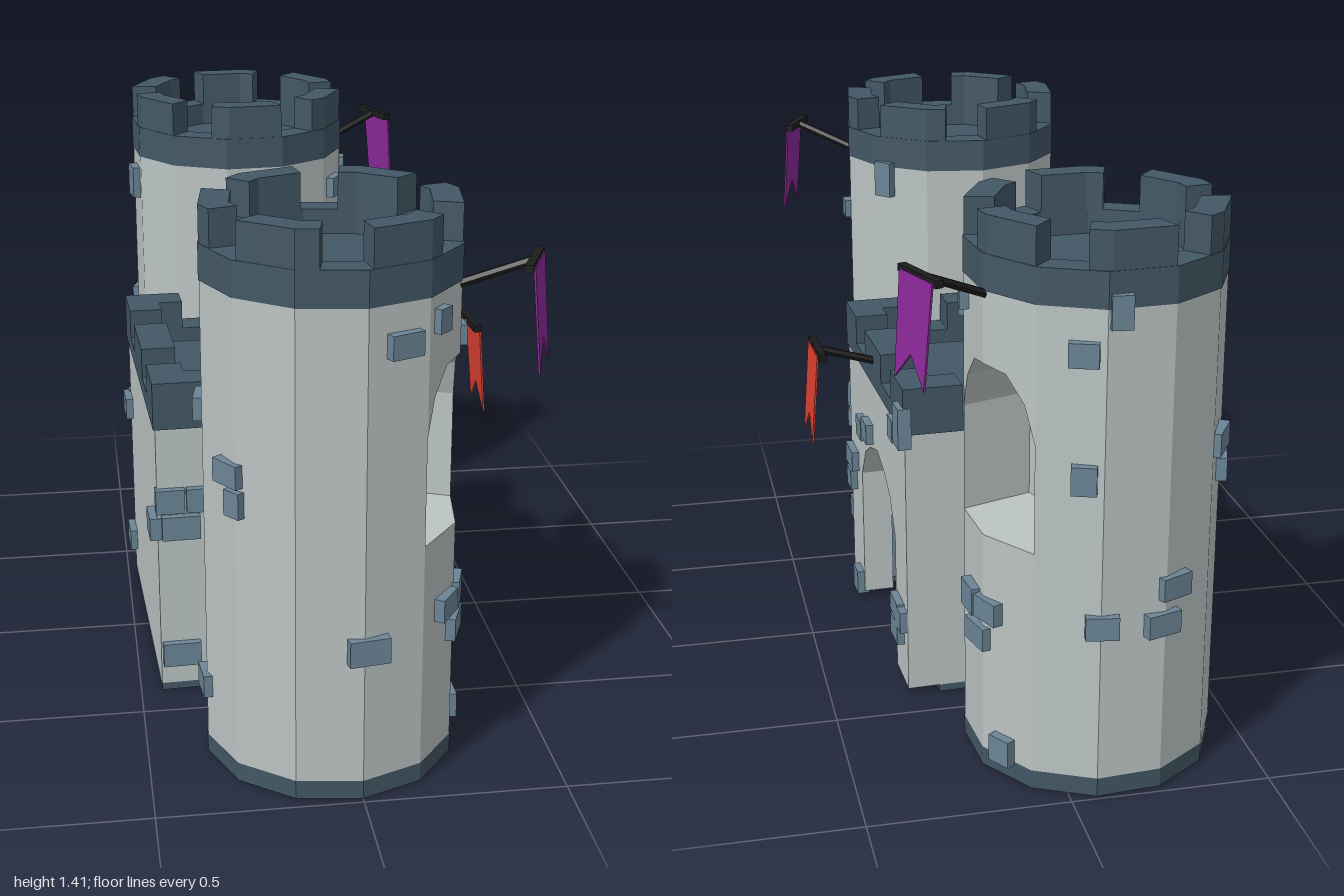
import * as THREE from 'three';

const mat = (color) => new THREE.MeshStandardMaterial({ color, flatShading: true, side: THREE.DoubleSide });
const stone = mat(0xbcc4c4), dark = mat(0x435866), brickMat = mat(0x6b8596);
const black = mat(0x1c1c1c), purple = mat(0x8c2a9a), red = mat(0xdc4030);
const rad = THREE.MathUtils.degToRad;

function add(parent, name, geometry, material, x = 0, y = 0, z = 0) {
  const m = new THREE.Mesh(geometry, material);
  m.name = name;
  m.position.set(x, y, z);
  parent.add(m);
  return m;
}
const box = (parent, name, material, w, h, d, x, y, z) =>
  add(parent, name, new THREE.BoxGeometry(w, h, d), material, x, y, z);

// Radius of a twelve-sided tower at an angle in degrees
const R = 0.312;
const facetRadius = (a, r = R) => r * Math.cos(rad(15)) / Math.cos(rad(((a % 30) + 30) % 30 - 15));

// Tower wall in vertical strips, with an arched niche facing +x
function towerWall() {
  const y0 = 0.05, y1 = 1.24, sill = 0.63, back = 0.08;
  const niche = [[-30, 0.9], [-24, 0.99], [-13, 1.05], [0, 1.06], [13, 1.05], [24, 0.99], [30, 0.9]];
  const pos = [];
  const quad = (a, b, c, d) => pos.push(...a, ...b, ...c, ...a, ...c, ...d);
  const out = (t, y) => [facetRadius(t) * Math.cos(rad(t)), y, facetRadius(t) * Math.sin(rad(t))];
  const inn = (t, y) => [back, y, facetRadius(t) * Math.sin(rad(t))];
  for (let t = 30; t < 330; t += 30) quad(out(t + 30, y0), out(t, y0), out(t, y1), out(t + 30, y1));
  for (let i = 0; i < niche.length - 1; i++) {
    const [s, hs] = niche[i], [t, ht] = niche[i + 1];
    quad(out(t, y0), out(s, y0), out(s, sill), out(t, sill));
    quad(out(t, ht), out(s, hs), out(s, y1), out(t, y1));
    quad(inn(t, sill), inn(s, sill), inn(s, hs), inn(t, ht));
    quad(out(t, sill), out(s, sill), inn(s, sill), inn(t, sill));
    quad(out(s, hs), out(t, ht), inn(t, ht), inn(s, hs));
  }
  quad(out(-30, sill), out(-30, 0.9), inn(-30, 0.9), inn(-30, sill));
  quad(out(30, 0.9), out(30, sill), inn(30, sill), inn(30, 0.9));
  const g = new THREE.BufferGeometry();
  g.setAttribute('position', new THREE.Float32BufferAttribute(pos, 3));
  g.computeVertexNormals();
  return g;
}

// Battlement block following the tower rim, centred on angle a
function towerMerlon(a) {
  const at = (t, r) => new THREE.Vector2(r * Math.sin(rad(t)), -r * Math.cos(rad(t)));
  const edge = [-19, -9, 0, 9, 19].map((o) => a + o);
  const pts = [...edge.map((t) => at(t, facetRadius(t))),
    ...edge.slice().reverse().map((t) => at(t, facetRadius(t, 0.24)))];
  const g = new THREE.ExtrudeGeometry(new THREE.Shape(pts), { depth: 0.095, bevelEnabled: false });
  return g.rotateX(-Math.PI / 2).translate(0, 1.318, 0);
}

// Pole, crossbar and swallow-tailed cloth pointing along +x
function banner(parent, x0, y0, x1, y1, material) {
  const g = new THREE.Group();
  g.name = 'banner';
  parent.add(g);
  const dx = x1 - x0, dy = y1 - y0;
  const pole = add(g, 'bannerPole', new THREE.CylinderGeometry(0.011, 0.011, Math.hypot(dx, dy), 6), black,
    (x0 + x1) / 2, (y0 + y1) / 2, 0);
  pole.rotation.z = Math.atan2(dy, dx) - Math.PI / 2;
  box(g, 'bannerBar', black, 0.02, 0.018, 0.17, x1, y1, 0);
  const cloth = new THREE.Shape([[-0.073, 0], [-0.066, -0.25], [0, -0.18], [0.066, -0.25], [0.073, 0]]
    .map((p) => new THREE.Vector2(...p)));
  const c = add(g, 'bannerCloth', new THREE.ExtrudeGeometry(cloth, { depth: 0.005, bevelEnabled: false }),
    material, x1 + 0.008, y1, 0);
  c.rotation.set(0, Math.PI / 2, 0.08, 'ZYX');
}

// bricks: [angle from +z towards +x, height, width, height of brick]
function tower(name, x, z, turn, merlonStart, bricks) {
  const g = new THREE.Group(), body = new THREE.Group();
  g.name = name;
  body.name = 'towerBody';
  g.position.set(x, 0, z);
  body.rotation.y = turn;
  g.add(body);
  add(body, 'wall', towerWall(), stone);
  add(body, 'baseBand', new THREE.CylinderGeometry(R + 0.002, R, 0.05, 12, 1, true), dark, 0, 0.03, 0);
  add(body, 'underside', new THREE.CircleGeometry(R, 12).rotateX(Math.PI / 2), stone, 0, 0.005, 0);
  const rim = [[R + 0.002, 1.235], [R + 0.002, 1.322], [0.24, 1.322], [0.24, 1.26], [0, 1.26]];
  add(body, 'parapet', new THREE.LatheGeometry(rim.map((p) => new THREE.Vector2(...p)), 12), dark);
  for (let i = 0; i < 6; i++) add(body, 'merlon', towerMerlon(merlonStart + i * 60), dark);
  banner(body, 0.29, 1.22, 0.475, 1.295, purple);
  box(body, 'nicheBrick', brickMat, 0.03, 0.05, 0.08, 0.085, 0.8, 0);
  for (const [a, y, w = 0.085, h = 0.058] of bricks) {
    const b = box(g, 'brick', brickMat, w, h, 0.04, 0.305 * Math.sin(rad(a)), y, 0.305 * Math.cos(rad(a)));
    b.rotation.y = rad(a);
  }
  return g;
}

function gatehouse() {
  const g = new THREE.Group();
  g.name = 'gatehouse';
  g.position.set(-0.075, 0, -0.01);
  g.rotation.y = 0.04;
  const H = 0.385, T = 0.085, L = 0.02, top = 0.75;
  // Front wall with the gate arch open to the ground
  const front = new THREE.Shape([[-H, L], [-0.22, L], [-0.22, 0.4], [-0.16, 0.49], [-0.09, 0.53], [0.01, 0.56],
    [0.11, 0.53], [0.18, 0.49], [0.24, 0.4], [0.24, L], [H, L], [H, top], [-H, top]]
    .map((p) => new THREE.Vector2(...p)));
  add(g, 'frontWall', new THREE.ExtrudeGeometry(front, { depth: T, bevelEnabled: false })
    .rotateY(Math.PI / 2), stone, H - T, 0, 0);
  // Remaining walls with dark footing and blue lining
  const h = top - L, m = (top + L) / 2, c = H - T / 2, inner = 2 * (H - T);
  box(g, 'backWall', stone, T, h, 2 * H, -c, m, 0);
  box(g, 'backFooting', dark, T, L, 2 * H, -c, L / 2, 0);
  box(g, 'backLining', brickMat, 0.01, h, inner, -(H - T), m, 0);
  for (const s of [-1, 1]) {
    box(g, 'sideWall', stone, 2 * H - T, h, T, -T / 2, m, s * c);
    box(g, 'sideFooting', dark, 2 * H - T, L, T, -T / 2, L / 2, s * c);
    box(g, 'sideLining', brickMat, inner, h, 0.01, 0, m, s * (H - T));
  }
  box(g, 'ceiling', brickMat, inner, 0.02, inner, 0, 0.68, 0);
  box(g, 'roof', dark, inner + 0.02, 0.03, inner + 0.02, 0, 0.735, 0);
  // Battlements, one run per side
  for (let k = 0; k < 4; k++) {
    const side = new THREE.Group();
    side.name = 'battlement';
    side.rotation.y = k * Math.PI / 2;
    g.add(side);
    box(side, 'parapet', dark, T + 0.005, 0.045, 2 * H + 0.01, c + 0.0025, 0.768, 0);
    box(side, 'middleMerlon', dark, T + 0.005, 0.08, 0.22, c + 0.0025, 0.83, 0);
    for (const s of [-1, 1])
      box(side, 'cornerMerlon', dark, T + 0.005, 0.08, 0.155, c + 0.0025, 0.83, s * (H - 0.0725));
  }
  // Scattered bricks: front face [z, y, width, height], then side faces [x, y]
  for (const [z, y, w = 0.085, bh = 0.058] of [[0.16, 0.565, 0.07], [0.08, 0.585, 0.075], [0.32, 0.415, 0.1],
    [0.33, 0.345, 0.06], [0.26, 0.045, 0.065, 0.07], [-0.3, 0.225, 0.09, 0.05], [-0.35, 0.215, 0.07],
    [-0.3, 0.16], [-0.365, 0.765, 0.065, 0.11], [-0.29, 0.73, 0.06, 0.06]])
    box(g, 'brick', brickMat, 0.035, bh, w, H + 0.003, y, z);
  for (const s of [-1, 1])
    for (const [x, y, w = 0.1, bh = 0.065] of [[-0.33, 0.11], [-0.325, 0.475], [-0.352, 0.55, 0.075], [-0.285, 0.55, 0.05]])
      box(g, 'brick', brickMat, w, bh, 0.035, x, y, s * (H + 0.003));
  for (const [z, y] of [[0.345, 0.47], [-0.345, 0.55], [-0.345, 0.13]])
    box(g, 'brick', brickMat, 0.035, 0.06, 0.09, -H - 0.003, y, z);
  banner(g, H - 0.01, 0.815, 0.54, 0.865, red);
  return g;
}

export function createModel() {
  const model = new THREE.Group();
  model.name = 'castle';
  model.add(gatehouse());
  model.add(tower('frontTower', -0.04, 0.683, -0.4, 51, [[24, 1.14], [9, 0.4, 0.1, 0.065], [45, 1.175, 0.045],
    [56, 0.44], [73, 0.44, 0.08, 0.07], [69, 0.36, 0.095], [90, 1.07, 0.055, 0.05], [132, 1.2, 0.055, 0.1],
    [90, 0.08, 0.065, 0.065], [-57, 0.81], [-53, 0.74, 0.05, 0.065], [-85, 0.2, 0.08], [-100, 0.9]]));
  model.add(tower('backTower', -0.12, -0.69, 0.34, 40.5, [[63, 1.14], [83, 1.18, 0.05, 0.05], [50, 0.4, 0.11],
    [97, 0.44, 0.08, 0.07], [113, 0.44], [105, 0.36, 0.095], [170, 0.46, 0.08], [160, 1.13, 0.07],
    [123, 0.08, 0.065, 0.07], [175, 1.23, 0.05, 0.08], [161, 0.83, 0.06, 0.07], [239, 0.85, 0.1],
    [252, 0.76, 0.09], [204, 0.54], [198, 0.45, 0.09], [278, 1.15, 0.07, 0.09]]));
  return model;
}
